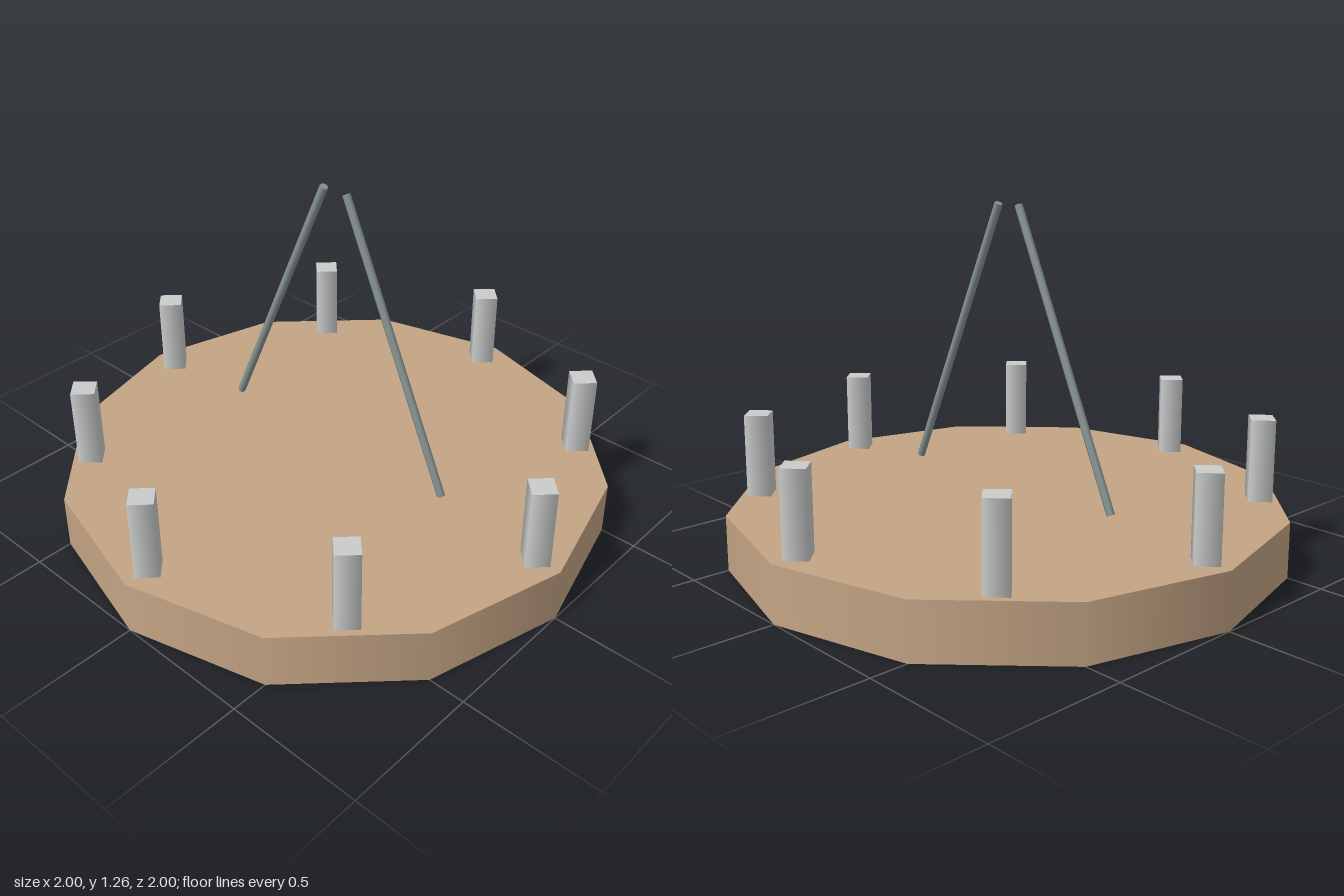
import * as THREE from 'three';

const material = (name, color) => {
  const m = new THREE.MeshStandardMaterial({ color });
  m.name = name;
  return m;
};

export function createModel() {
  const group = new THREE.Group();
  const tan = material('tan', 0xc4a484);
  const lightGrey = material('lightGrey', 0xcacccc);
  const steel = material('steelGrey', 0x879593);

  const add = (name, geometry, mat, x, y, z) => {
    const mesh = new THREE.Mesh(geometry, mat);
    mesh.name = name;
    mesh.position.set(x, y, z);
    group.add(mesh);
    return mesh;
  };

  // Twelve-sided platform
  add('platform', new THREE.CylinderGeometry(1, 1, 0.2, 12), tan, 0, 0.1, 0);

  // Ring of eight four-sided posts, all turned the same way
  const post = new THREE.CylinderGeometry(0.06, 0.06, 0.3, 4);
  for (let i = 0; i < 8; i++) {
    const a = (i / 8) * Math.PI * 2;
    add('post' + (i + 1), post, lightGrey, 0.9 * Math.cos(a), 0.35, 0.9 * Math.sin(a));
  }

  // Mirrored pair of rods leaning towards each other
  const rod = new THREE.CylinderGeometry(0.015, 0.015, Math.hypot(0.45, 1), 6);
  for (const side of [1, -1]) {
    const mesh = add(side > 0 ? 'leftRod' : 'rightRod', rod, steel, side * 0.275, 0.75, 0);
    mesh.rotation.z = side * Math.atan(0.45);
  }

  return group;
}
